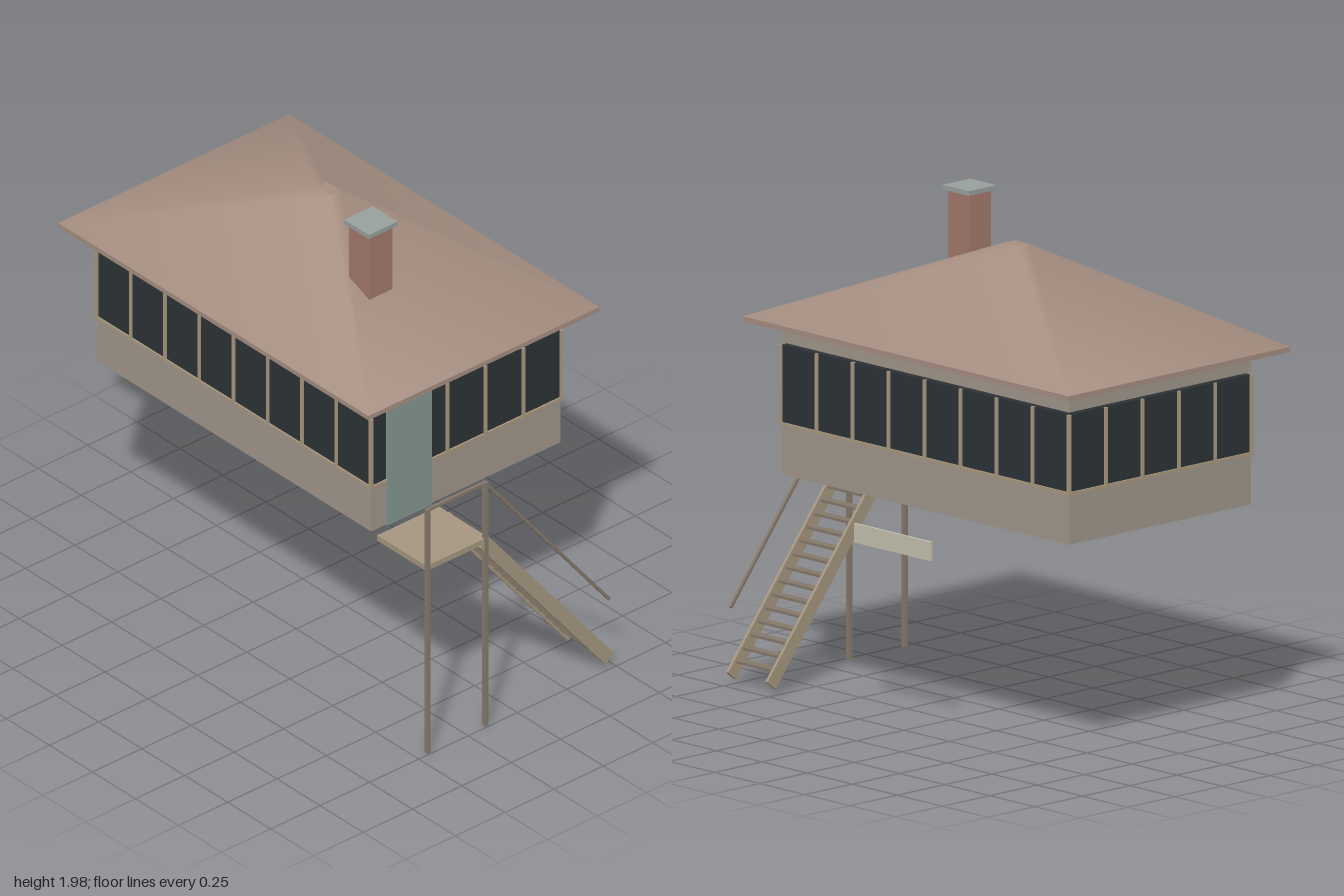
import * as THREE from 'three';

const mat = (color) => new THREE.MeshStandardMaterial({ color });

export function createModel() {
  const model = new THREE.Group();
  const M = {
    wall: mat(0xa0968a), roof: mat(0xa58d80), glass: mat(0x2c3236), trim: mat(0xa8977f),
    brick: mat(0xa3786b), cap: mat(0x97a09c), door: mat(0x84968f), wood: mat(0xa5967f),
    post: mat(0x85786a), sign: mat(0xc4c0ae),
  };

  const group = (name) => {
    const g = new THREE.Group();
    g.name = name;
    model.add(g);
    return g;
  };
  // Box given by its lower and upper limits on each axis
  const box = (parent, name, m, [x0, x1], [y0, y1], [z0, z1]) => {
    const mesh = new THREE.Mesh(new THREE.BoxGeometry(x1 - x0, y1 - y0, z1 - z0), m);
    mesh.position.set((x0 + x1) / 2, (y0 + y1) / 2, (z0 + z1) / 2);
    mesh.name = name;
    parent.add(mesh);
    return mesh;
  };
  // Beam running in the y-z plane between two [y, z] points
  const beam = (parent, name, m, x, a, b, width, depth) => {
    const dy = b[0] - a[0], dz = b[1] - a[1];
    const mesh = new THREE.Mesh(new THREE.BoxGeometry(width, depth, Math.hypot(dy, dz)), m);
    mesh.position.set(x, (a[0] + b[0]) / 2, (a[1] + b[1]) / 2);
    mesh.rotation.x = -Math.atan2(dy, dz);
    mesh.name = name;
    parent.add(mesh);
  };

  // Cabin: lower wall, window band and upper wall
  const X0 = -0.893, X1 = 0.7, Z = 0.48;
  const cabin = group('cabin');
  box(cabin, 'lowerWall', M.wall, [X0, X1], [0.88, 1.08], [-Z, Z]);
  box(cabin, 'windowGlass', M.glass, [X0, X1], [1.08, 1.39], [-Z, Z]);
  box(cabin, 'upperWall', M.wall, [X0, X1], [1.4, 1.485], [-Z, Z]);

  // Mullions and sills on all four sides
  const frames = group('windowFrames');
  const t = 0.007;
  for (const s of [-1, 1]) {
    for (let i = 0; i <= 8; i++) {
      const x = X0 + ((X1 - X0) * i) / 8;
      box(frames, 'mullion', M.trim, [x - t, x + t], [1.08, 1.39], [s * Z - t, s * Z + t]);
    }
    const xs = s < 0 ? X0 : X1;
    for (let i = 1; i < 5; i++) {
      const z = -Z + (2 * Z * i) / 5;
      box(frames, 'mullion', M.trim, [xs - t, xs + t], [1.08, 1.39], [z - t, z + t]);
    }
    box(frames, 'sill', M.trim, [X0 - t, X1 + t], [1.075, 1.087], [s * Z - t, s * Z + t]);
    box(frames, 'sill', M.trim, [xs - t, xs + t], [1.075, 1.087], [-Z, Z]);
  }

  // Door on the stair side
  box(model, 'door', M.door, [0.695, 0.71], [0.88, 1.41], [0.18, 0.405]);

  // Hipped roof: eaves slab and a smooth four-sided frustum
  const roof = group('roof');
  box(roof, 'eaves', M.roof, [-1, 0.805], [1.48, 1.5], [-0.585, 0.585]);
  const hipGeo = new THREE.CylinderGeometry(0.045 * Math.SQRT1_2, Math.SQRT1_2, 0.348, 4, 1, false, Math.PI / 4);
  hipGeo.scale(1.805, 1, 1.17);
  const hip = new THREE.Mesh(hipGeo, M.roof);
  hip.position.set(-0.0975, 1.674, 0);
  hip.name = 'hippedRoof';
  roof.add(hip);

  // Chimney
  const chimney = group('chimney');
  box(chimney, 'chimneyStack', M.brick, [0.27, 0.387], [1.58, 1.957], [0.1, 0.217]);
  box(chimney, 'chimneyCap', M.cap, [0.256, 0.401], [1.957, 1.976], [0.086, 0.231]);

  // Landing with posts and rail
  const landing = group('landing');
  box(landing, 'platform', M.wood, [0.7, 0.988], [0.826, 0.85], [0.138, 0.45]);
  for (const z of [0.443, 0.15]) {
    box(landing, 'post', M.post, [0.976, 0.995], [0, 1.105], [z - 0.008, z + 0.008]);
  }
  box(landing, 'topRail', M.post, [0.979, 0.991], [1.095, 1.107], [0.15, 0.443]);

  // Open stairs with stringers, treads and a sloping handrail
  const stairs = group('stairs');
  for (const x of [0.765, 0.983]) {
    beam(stairs, 'stringer', M.wood, x, [0.835, 0.158], [0.038, -0.476], 0.013, 0.055);
  }
  for (let i = 0; i < 16; i++) {
    const y = 0.09 + i * 0.0467, z = -0.435 + i * 0.0372;
    box(stairs, 'tread', M.post, [0.765, 0.983], [y - 0.005, y + 0.005], [z - 0.02, z + 0.02]);
  }
  beam(stairs, 'handrail', M.post, 0.985, [1.1, 0.15], [0.307, -0.477], 0.012, 0.012);

  // Plain board below the back wall
  box(model, 'signBoard', M.sign, [-0.177, 0.245], [0.7, 0.775], [-0.53, -0.519]);

  return model;
}
